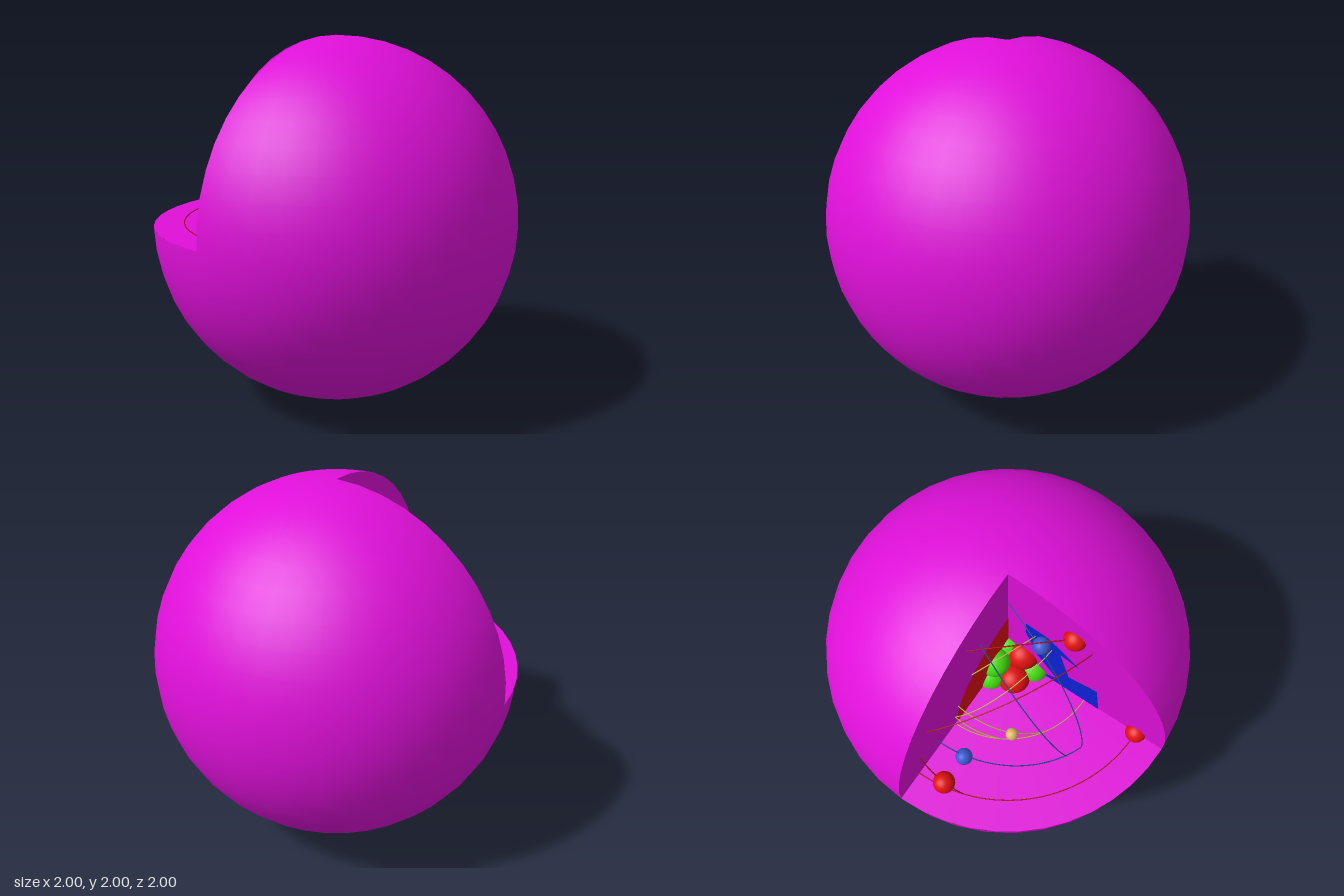
import * as THREE from 'three';

const mat = (name, color) => {
  const m = new THREE.MeshStandardMaterial({ color });
  m.name = name;
  return m;
};

export function createModel() {
  const magenta = mat('magenta', 0xe010da);
  const red = mat('red', 0xe01010);
  const green = mat('green', 0x44dd10);
  const blue = mat('soft blue', 0x3c56d0);
  const deepBlue = mat('deep blue', 0x0e22da);
  const sand = mat('sand', 0xdcb868);
  const redLine = mat('dark red', 0xaa1010);
  const blueLine = mat('dark blue', 0x1a5090);
  const sandLine = mat('olive', 0xc0b840);

  const model = new THREE.Group();
  model.name = 'atomModel';
  const atom = new THREE.Group();
  atom.name = 'cutawayAtom';
  atom.position.y = 1; // all parts are placed around the nucleus
  model.add(atom);

  const add = (name, geometry, material) => {
    const mesh = new THREE.Mesh(geometry, material);
    mesh.name = name;
    atom.add(mesh);
    return mesh;
  };

  // Outer shell with the upper back octant (x < 0, z < 0) cut away
  const H = Math.PI / 2;
  add('lowerShell', new THREE.SphereGeometry(1, 40, 12, 0, 4 * H, H, H), magenta);
  add('upperShell', new THREE.SphereGeometry(1, 30, 12, 0, 3 * H, 0, H), magenta);

  // Flat faces of the cut
  add('cutFloor', new THREE.CircleGeometry(1, 12, H, H).rotateX(-H), magenta);
  add('cutWallSide', new THREE.CircleGeometry(1, 12, H, H).rotateY(-H), magenta);
  add('cutWallBack', new THREE.CircleGeometry(1, 12, 0, H).rotateY(2 * H), magenta);

  // Coloured inner layers showing on the walls
  add('redLayer', new THREE.CircleGeometry(0.49, 16, H, H).rotateY(-H), red).position.x = -0.003;
  const patch = new THREE.Shape([
    [0.11, 0.57], [0.24, 0.56], [0.44, 0.41], [0.32, 0.44], [0.39, 0.2], [0.56, 0.25],
    [0.6, 0], [0.21, 0], [0.32, 0.07], [0.19, 0.24], [0.11, 0.46],
  ].map(([x, y]) => new THREE.Vector2(x, y)));
  add('blueLayer', new THREE.ShapeGeometry(patch).rotateY(2 * H), deepBlue).position.z = -0.003;

  // Nucleus and electrons
  const balls = (name, radius, material, centres) => {
    const geometry = new THREE.SphereGeometry(radius, 24, 16);
    for (const c of centres) add(name, geometry, material).position.set(...c);
  };
  balls('proton', 0.088, red, [[-0.118, 0, -0.115], [-0.105, 0.12, 0]]);
  balls('neutron', 0.085, green, [
    [0, 0.12, -0.126], [0, 0, -0.168], [-0.172, 0, 0], [0, 0.12, 0],
  ]);
  balls('outerElectron', 0.058, red, [
    [-0.157, 0.118, -0.817], [-0.836, 0.01, 0], [-0.38, 0.746, 0],
  ]);
  balls('middleElectron', 0.045, blue, [[-0.161, 0.1, -0.646], [-0.247, 0.63, -0.078]]);
  balls('innerElectron', 0.034, sand, [[-0.3, 0.093, -0.404]]);

  // Orbits: thin arcs on a sphere, from one face of the cut to another
  const orbits = (name, radius, material, arcs) => {
    for (const [from, to] of arcs) {
      const a = new THREE.Vector3(...from).normalize();
      const b = new THREE.Vector3(...to).normalize();
      const angle = a.angleTo(b);
      const side = b.clone().addScaledVector(a, -a.dot(b)).normalize();
      const points = [];
      for (let i = 0; i <= 24; i++) {
        const t = (angle * i) / 24;
        points.push(a.clone().multiplyScalar(Math.cos(t) * radius)
          .addScaledVector(side, Math.sin(t) * radius));
      }
      const path = new THREE.CatmullRomCurve3(points);
      add(name, new THREE.TubeGeometry(path, 48, 0.003, 6), material);
    }
  };
  orbits('outerOrbit', 0.838, redLine, [
    [[-0.837, 0.003, 0], [0, 0.003, -0.837]],
    [[0, 0.253, -0.8], [-0.261, 0, -0.793]],
    [[-0.38, 0.746, 0], [0, 0.769, -0.34]],
    [[-0.48, 0.69, 0], [0, 0.455, -0.71]],
  ]);
  orbits('middleOrbit', 0.678, blueLine, [
    [[-0.633, 0, -0.233], [0, 0.148, -0.667]],
    [[-0.633, 0, -0.233], [0, 0.675, 0]],
    [[-0.6, 0, -0.32], [0, 0.635, -0.238]],
  ]);
  orbits('innerOrbit', 0.508, sandLine, [
    [[-0.507, 0.003, 0], [0, 0.003, -0.507]],
    [[-0.44, 0, -0.26], [0, 0.21, -0.46]],
    [[-0.27, 0, -0.43], [0, 0.1, -0.5]],
    [[-0.27, 0.43, 0], [0, 0.1, -0.49]],
    [[-0.17, 0.48, 0], [0, 0.39, -0.33]],
  ]);

  return model;
}
